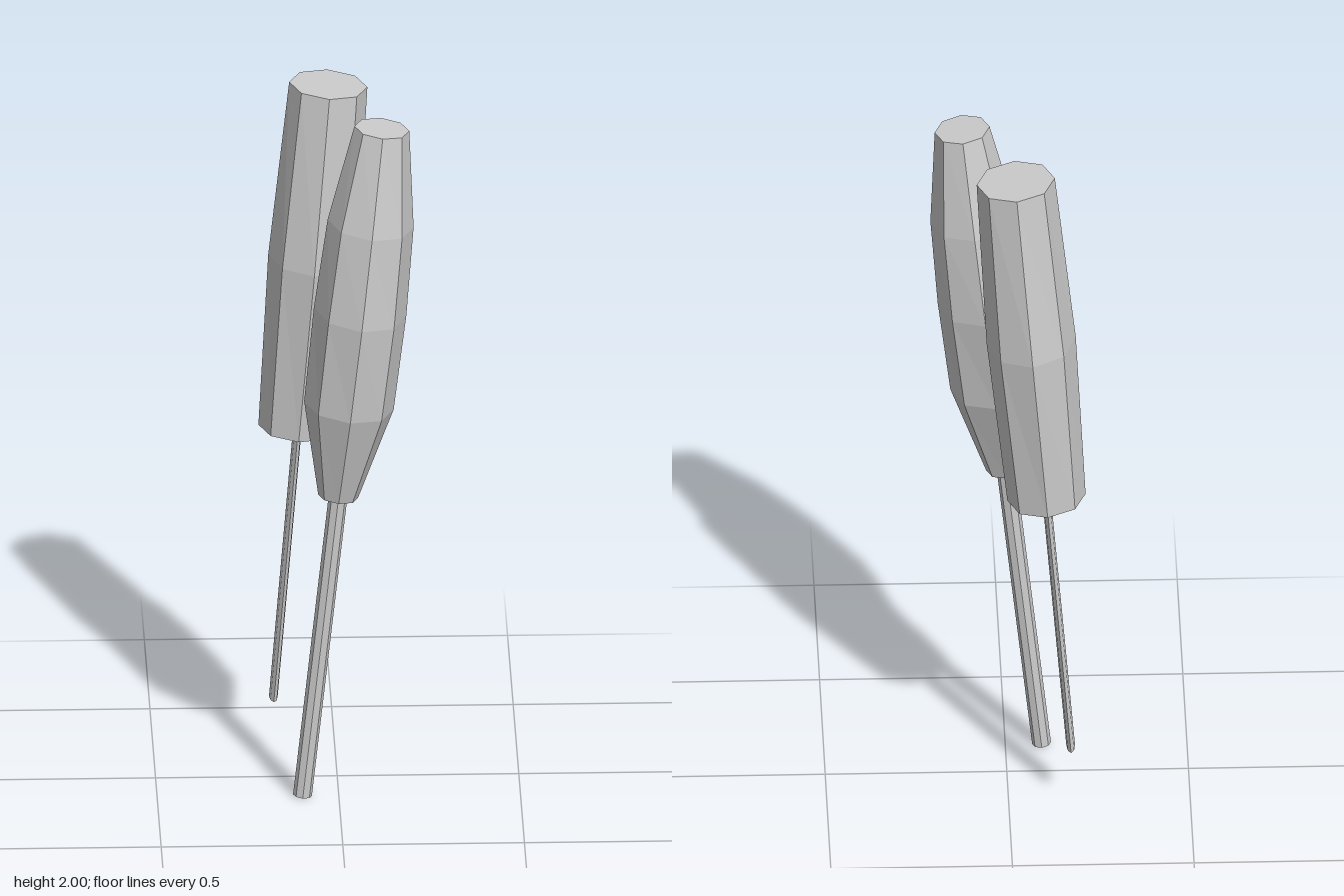
import * as THREE from 'three';

const material = new THREE.MeshStandardMaterial({ color: 0xcccccc, flatShading: true });

// Closed eight-sided solid; each ring is [height, half width x, half depth z]
function loft(name, rings) {
  const capped = [[rings[0][0], 0, 0], ...rings, [rings[rings.length - 1][0], 0, 0]];
  const profile = capped.map(([y, , rz]) => new THREE.Vector2(rz, y));
  const geometry = new THREE.LatheGeometry(profile, 8);
  const position = geometry.attributes.position;
  for (let i = 0; i < position.count; i++) {
    const [, rx, rz] = capped[i % capped.length];
    if (rz > 0) position.setX(i, position.getX(i) * rx / rz);
  }
  geometry.computeVertexNormals();
  const mesh = new THREE.Mesh(geometry, material);
  mesh.name = name;
  return mesh;
}

// One screwdriver, its origin at the blade tip, leaning towards +x
function screwdriver(name, tip, lean, shaft, handle) {
  const tool = new THREE.Group();
  tool.name = name;
  tool.add(loft('shaft', shaft), loft('handle', handle));
  tool.position.set(...tip);
  tool.rotation.z = -lean;
  return tool;
}

export function createModel() {
  const model = new THREE.Group();
  model.name = 'screwdrivers';

  // Round shaft with a barrel-shaped handle
  model.add(screwdriver('roundScrewdriver', [-0.1, 0.003, 0.143], 0.11,
    [[0, 0.026, 0.026], [0.9, 0.026, 0.026]],
    [[0.893, 0.055, 0.056], [1.165, 0.124, 0.133], [1.446, 0.128, 0.154],
      [1.71, 0.119, 0.133], [1.992, 0.076, 0.077]]));

  // Flat blade with a wide, slightly swollen handle
  model.add(screwdriver('flatScrewdriver', [-0.171, 0.176, -0.154], 0.083,
    [[0, 0.012, 0.043], [0.82, 0.012, 0.043]],
    [[0.802, 0.108, 0.109], [1.31, 0.123, 0.145], [1.824, 0.108, 0.109]]));

  return model;
}
